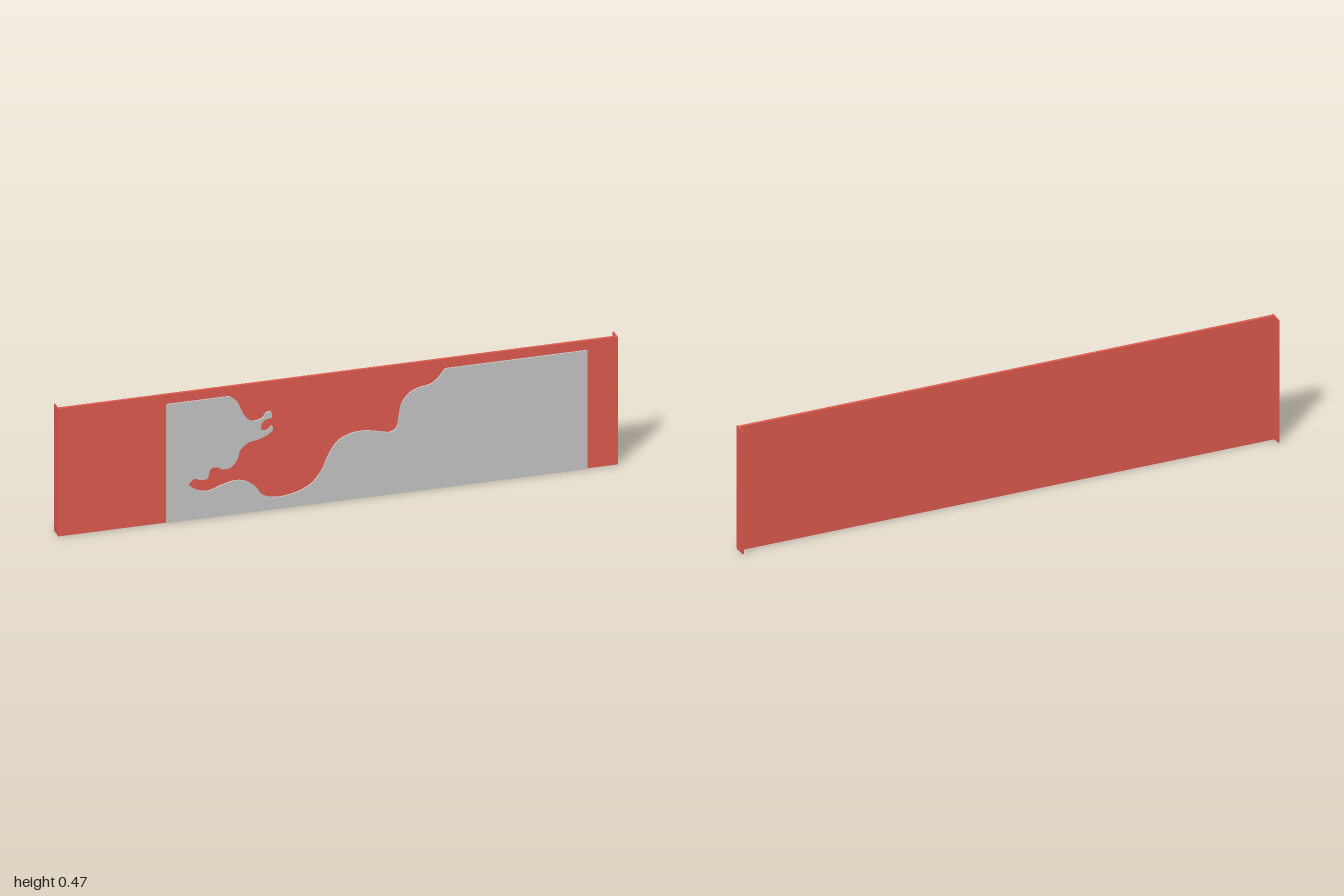
import * as THREE from 'three';

const red = new THREE.MeshStandardMaterial({ color: 0xe55d51 });
const grey = new THREE.MeshStandardMaterial({ color: 0xcccccc });

function box(name, w, h, d, x, y, z) {
  const mesh = new THREE.Mesh(new THREE.BoxGeometry(w, h, d), red);
  mesh.name = name;
  mesh.position.set(x, y, z);
  return mesh;
}

// Smooth outline through hundredths of a unit
const smooth = (pts) => new THREE.CatmullRomCurve3(
  pts.map(([x, y]) => new THREE.Vector3(x / 100, y / 100, 0)), false, 'centripetal'
).getPoints(pts.length * 6).map((p) => new THREE.Vector2(p.x, p.y));

export function createModel() {
  const model = new THREE.Group();

  // Thin backing panel with a flange across each end
  model.add(box('panel', 2, 0.472, 0.011, 0, 0.236, 0.0155));
  for (const side of [-1, 1]) {
    model.add(box(side > 0 ? 'leftFlange' : 'rightFlange',
      0.004, 0.469, 0.05, side * 0.998, 0.2375, 0));
  }

  // Right bank of the cutout, from the top edge down to the low point
  const bank = smooth([
    [38.2, 43.8], [34.5, 39.6], [31.8, 38.5], [28.6, 38], [25.4, 36.4], [22.7, 33.2],
    [21.7, 28.9], [20.6, 24.1], [18.4, 23], [14.7, 23.7], [9.4, 24.7], [4, 24.2],
    [-0.3, 22], [-3.5, 17.6], [-6.1, 11.8], [-9.9, 7.5], [-15.2, 5.2], [-22.7, 4.4],
    [-27, 5.9], [-29.7, 9.4], [-33.4, 11.9], [-37.2, 12.4], [-42, 11.3], [-46.8, 9.9],
    [-50.5, 10.8], [-53.7, 13]]);
  // Ragged left bank, back up to the top edge
  const ragged = smooth([
    [-53.7, 13], [-51.6, 15], [-49.5, 14.4], [-46.8, 14.5], [-45.7, 17.8], [-43.6, 18.3],
    [-41.4, 17.2], [-38.2, 17.6], [-36.1, 20.3], [-35, 23.5], [-32.4, 25.7], [-28.1, 26.7],
    [-25.4, 27.8], [-23.4, 29.4], [-23.8, 31], [-25.4, 29.5], [-27.5, 30], [-27.2, 32.4],
    [-25.9, 33.6], [-23.9, 34], [-24.1, 36.3], [-25.9, 35.9], [-27.2, 34.2], [-31.3, 33.8],
    [-34, 36.9], [-36.1, 41.5], [-38.8, 43.8]]);

  // Grey facing sheet laid on the panel
  const outline = new THREE.Shape([
    new THREE.Vector2(-0.615, 0), new THREE.Vector2(0.89, 0), new THREE.Vector2(0.89, 0.438),
    ...bank, ...ragged.slice(1), new THREE.Vector2(-0.615, 0.438)]);
  const facing = new THREE.Mesh(
    new THREE.ExtrudeGeometry(outline, { depth: 0.006, bevelEnabled: false }), grey);
  facing.name = 'facingSheet';
  facing.position.z = 0.021;
  model.add(facing);

  return model;
}
